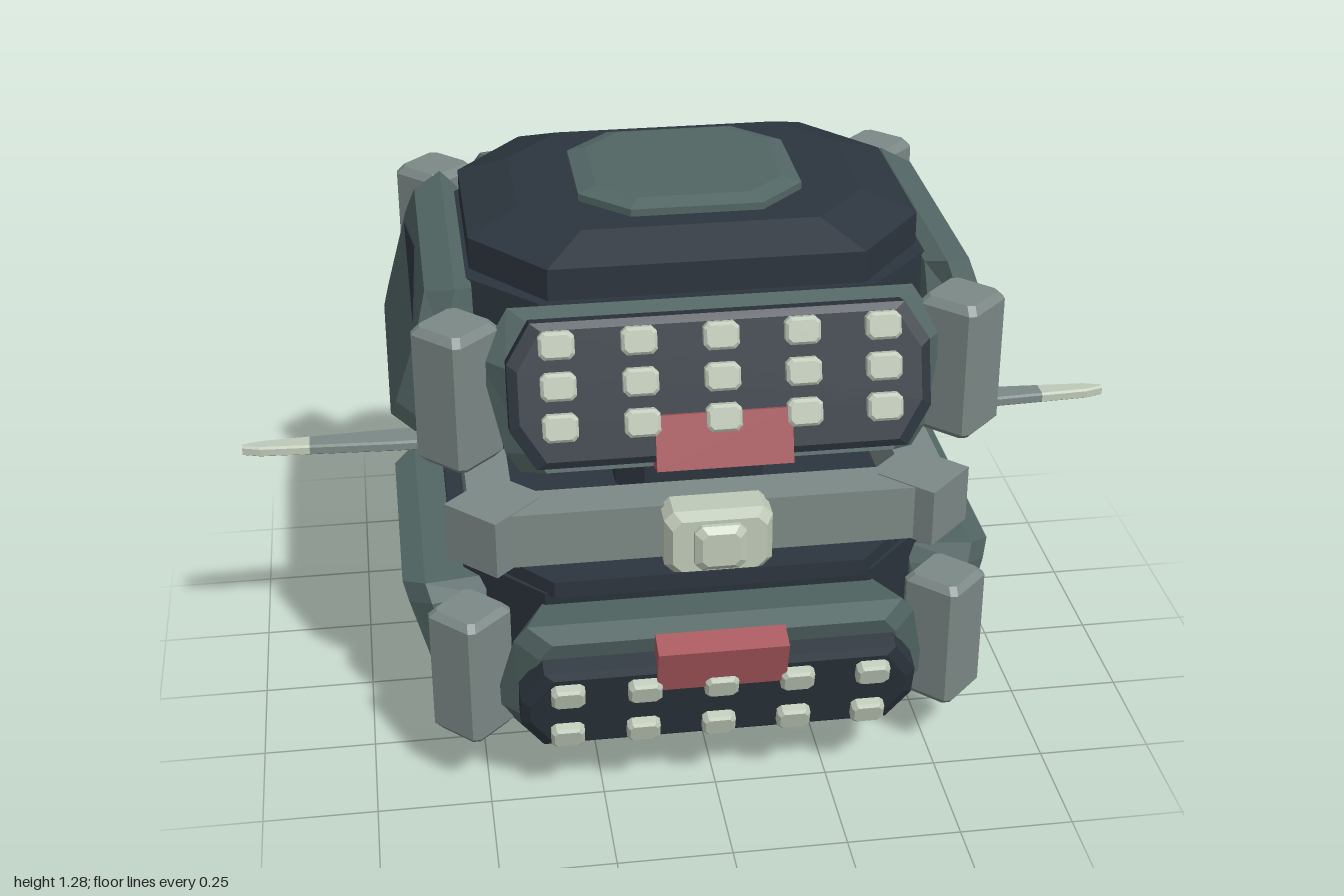
import * as THREE from 'three';

const mat = (name, color) => {
  const m = new THREE.MeshStandardMaterial({ color });
  m.name = name;
  return m;
};

// Chamfered rectangle, counter-clockwise, at depth z
const oct = (hx, hy, cx, cy, z) => [
  [hx, -hy + cy, z], [hx, hy - cy, z], [hx - cx, hy, z], [-hx + cx, hy, z],
  [-hx, hy - cy, z], [-hx, -hy + cy, z], [-hx + cx, -hy, z], [hx - cx, -hy, z],
];

// Faceted solid through a list of equal-length rings, capped at both ends
function loft(rings) {
  const pos = [];
  const tri = (...p) => p.forEach((q) => pos.push(...q));
  const n = rings[0].length;
  for (let i = 0; i < rings.length - 1; i++) {
    for (let j = 0; j < n; j++) {
      const k = (j + 1) % n, a = rings[i], b = rings[i + 1];
      tri(a[j], a[k], b[k]);
      tri(a[j], b[k], b[j]);
    }
  }
  const first = rings[0], last = rings[rings.length - 1];
  for (let j = 1; j < n - 1; j++) {
    tri(first[0], first[j + 1], first[j]);
    tri(last[0], last[j], last[j + 1]);
  }
  const g = new THREE.BufferGeometry();
  g.setAttribute('position', new THREE.Float32BufferAttribute(pos, 3));
  g.computeVertexNormals();
  return g;
}
const upright = (rings) => loft(rings).rotateX(-Math.PI / 2);

function add(parent, name, geo, material, x = 0, y = 0, z = 0) {
  const m = new THREE.Mesh(geo, material);
  m.name = name;
  m.position.set(x, y, z);
  parent.add(m);
  return m;
}

const MID = 0.64, ZC = -0.025;         // centre of the body
const SLOPE = 0.3, TILT = Math.atan(SLOPE), COS = Math.cos(TILT);
const faceDepth = (y) => 0.09 + (0.52 - y) * SLOPE;

// Armour panel outline; inset shrinks it, depth gives z for each height
function panelRing(w, inset, insetY, depth) {
  const half = [[0.85, 0.19 + insetY], [0.91, 0.23 + insetY], [1, 0.42], [0.87, 0.515 - insetY]];
  const right = half.map(([f, y]) => [f * w - inset, y, depth(y)]);
  return [...right, ...right.map(([x, y, z]) => [-x, y, z]).reverse()];
}
const panelGeometry = (w) => loft([
  panelRing(w, 0.05, 0.02, () => 0),
  panelRing(w, 0, 0, (y) => faceDepth(y) - 0.055),
  panelRing(w, 0.05, 0.02, faceDepth),
]);

export function createModel() {
  const model = new THREE.Group();
  model.name = 'armouredPod';
  const teal = mat('teal armour', 0x526664);
  const dark = mat('dark slate', 0x2c353e);
  const grey = mat('grey metal', 0x7c8986);
  const red = mat('dull red', 0xa8585e);
  const pale = mat('pale green', 0xbfc9b8);

  // One half of the body, built upwards from the middle
  function buildHalf(name, o) {
    const half = new THREE.Group();
    half.name = name;
    half.position.set(0, MID, ZC);

    // Dark core, base slab, lid and cap
    add(half, 'baseSlab', upright([
      oct(0.55, 0.435, 0.21, 0.24, 0.14), oct(0.55, 0.435, 0.21, 0.24, 0.18)]), dark);
    add(half, 'core', upright([
      oct(0.53, 0.42, 0.17, 0.18, 0.175), oct(0.49, 0.385, 0.14, 0.15, 0.5)]), dark);
    add(half, 'lid', upright([
      oct(0.48, 0.375, 0.15, 0.185, 0.49), oct(0.48, 0.375, 0.15, 0.185, 0.57),
      oct(0.37, 0.28, 0.12, 0.14, 0.612)]), dark);
    add(half, 'lidCap', upright([
      oct(0.24, 0.225, 0.1, 0.1, 0.605), oct(0.24, 0.225, 0.1, 0.1, 0.628),
      oct(0.2, 0.19, 0.08, 0.08, 0.64)]), teal);
    add(half, 'rearBlock', new THREE.BoxGeometry(0.68, 0.095, 0.09), dark, 0, 0.128, -0.47);

    // Four sloping panels
    ['front', 'left', 'back', 'right'].forEach((side, i) => {
      const isEnd = i % 2 === 0, w = isEnd ? 0.48 : 0.375;
      const panel = new THREE.Group();
      panel.name = side + 'Panel';
      panel.rotation.y = (i * Math.PI) / 2;
      const out = isEnd ? 0.39 : 0.48;
      panel.position.set(Math.sin(panel.rotation.y) * out, 0, Math.cos(panel.rotation.y) * out);
      half.add(panel);
      add(panel, 'armour', panelGeometry(w), teal);

      // Frame lying on the sloping face
      const face = new THREE.Group();
      face.name = 'faceDetails';
      face.position.z = faceDepth(0);
      face.rotation.x = -TILT;
      panel.add(face);
      const v = (y, n = 0) => (y - n * Math.sin(TILT)) / COS;

      if (side !== 'front') {
        // Triangular slit
        const s = isEnd ? 0.31 : 0.27, [base, tip] = o.slit;
        const ring = (z) => {
          const p = [[-s, v(base), z], [s, v(base), z], [0, v(tip), z]];
          return tip > base ? p : p.reverse();
        };
        add(face, 'slit', loft([ring(-0.003), ring(0.004)]), dark);
        return;
      }
      // Control plate, buttons and red tab
      const [lo, hi] = o.plate, h = (hi - lo) / 2 / COS;
      add(face, 'controlPlate', loft([
        oct(0.43, h, 0.05, 0.08, -0.01), oct(0.43, h, 0.05, 0.08, 0.04),
        oct(0.41, h - 0.015, 0.05, 0.08, 0.05)]), dark, 0, v((lo + hi) / 2, 0.03));
      for (const y of o.rows) {
        for (let c = -2; c <= 2; c++) {
          add(face, 'button', loft([
            oct(0.036, 0.028, 0.01, 0.01, 0.04), oct(0.036, 0.028, 0.01, 0.01, 0.068),
            oct(0.03, 0.022, 0.008, 0.008, 0.074)]), pale, c * 0.165, v(y, 0.07));
        }
      }
      const [r0, r1] = o.tab;
      add(face, 'redTab', new THREE.BoxGeometry(0.28, (r1 - r0) / COS, 0.06), red,
        0, v((r0 + r1) / 2, 0.05), 0.032);
    });

    // Corner pillars set diagonally
    for (const sx of [-1, 1]) for (const sz of [-1, 1]) {
      const p = add(half, 'cornerPillar', upright([
        oct(0.055, 0.055, 0.012, 0.012, 0.185), oct(0.068, 0.068, 0.012, 0.012, 0.2),
        oct(0.068, 0.068, 0.012, 0.012, 0.475), oct(0.055, 0.055, 0.012, 0.012, 0.492),
      ]), grey, sx * 0.525, 0, sz * 0.432);
      p.rotation.y = Math.PI / 4;
    }
    model.add(half);
    return half;
  }

  buildHalf('upperHalf', {
    slit: [0.415, 0.47], plate: [0.235, 0.52], rows: [0.49, 0.41, 0.33], tab: [0.225, 0.335],
  });
  buildHalf('lowerHalf', {
    slit: [0.32, 0.255], plate: [0.26, 0.49], rows: [0.325, 0.45], tab: [0.21, 0.32],
  }).rotation.z = Math.PI;

  // Middle band with corner blocks
  const outline = (S, hx, hz) => new S(
    oct(hx, hz, 0.05, 0.05, 0).map(([x, y]) => new THREE.Vector2(x, y)));
  const bandShape = outline(THREE.Shape, 0.515, 0.49);
  bandShape.holes.push(outline(THREE.Path, 0.42, 0.39));
  const bandGeo = new THREE.ExtrudeGeometry(bandShape, { depth: 0.125, bevelEnabled: false });
  add(model, 'middleBand', bandGeo.rotateX(-Math.PI / 2), grey, 0, MID + 0.003 - 0.0625, ZC);
  for (const sx of [-1, 1]) for (const sz of [-1, 1]) {
    const b = add(model, 'bandCorner', new THREE.BoxGeometry(0.142, 0.13, 0.142), grey,
      sx * 0.465, MID + 0.003, ZC + sz * 0.423);
    b.rotation.y = Math.PI / 4;
  }
  add(model, 'innerCore', upright([
    oct(0.17, 0.175, 0.06, 0.06, -0.09), oct(0.17, 0.175, 0.06, 0.06, 0.09)]), dark, 0, MID + 0.003, ZC);

  // Front boss and rear red block
  add(model, 'frontBoss', loft([
    oct(0.115, 0.073, 0.02, 0.02, 0.45), oct(0.115, 0.073, 0.02, 0.02, 0.515),
    oct(0.1, 0.06, 0.02, 0.02, 0.54)]), pale, 0, MID + 0.005, 0);
  add(model, 'frontBossCap', loft([
    oct(0.055, 0.052, 0.015, 0.015, 0.53), oct(0.055, 0.052, 0.015, 0.015, 0.55),
    oct(0.04, 0.038, 0.012, 0.012, 0.562)]), pale, 0, MID + 0.005, 0);
  add(model, 'rearRedBlock', new THREE.BoxGeometry(0.22, 0.105, 0.07), red, 0, MID + 0.003, -0.54);

  // Side blades with pale tips
  const bladeRing = (w, x, z = 0) =>
    oct(w, 0.012, 0.006, 0.004, x).map(([a, b, c]) => [a + z, b, c]);
  for (const s of [-1, 1]) {
    const blade = new THREE.Group();
    blade.name = s > 0 ? 'leftBlade' : 'rightBlade';
    blade.position.set(0, MID + 0.002, s > 0 ? -0.035 : -0.021);
    blade.rotation.y = (s * Math.PI) / 2;
    add(blade, 'shaft', loft([bladeRing(0.036, 0.46), bladeRing(0.036, 0.66), bladeRing(0.026, 0.85)]), grey);
    add(blade, 'tip', loft([bladeRing(0.026, 0.85), bladeRing(0.02, 0.96), bladeRing(0.008, 1)]), pale);
    model.add(blade);
  }
  return model;
}
